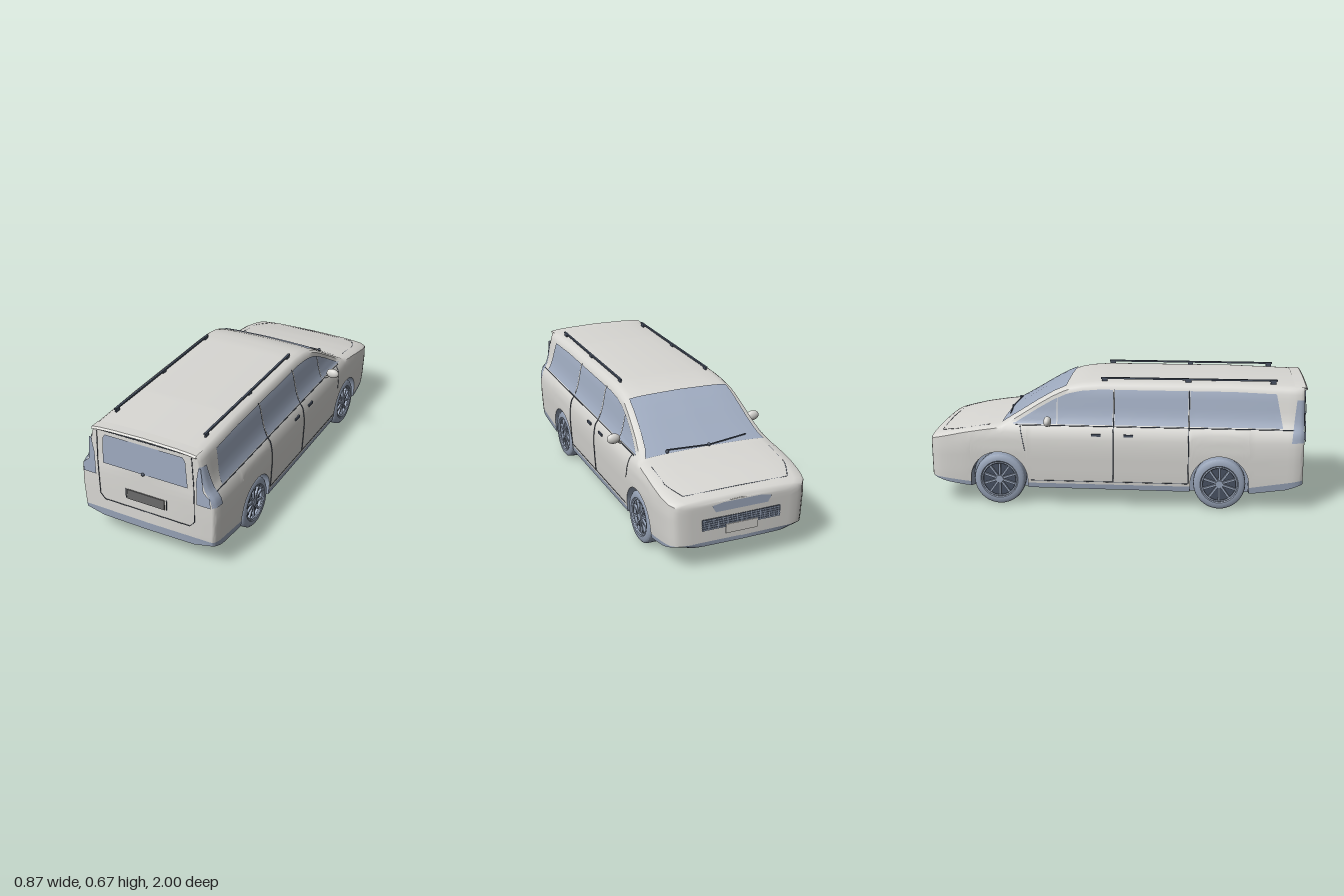
import * as THREE from 'three';
import { toCreasedNormals } from 'three/addons/utils/BufferGeometryUtils.js';

const material = (name, color, side = THREE.DoubleSide) => {
  const m = new THREE.MeshStandardMaterial({ color, side });
  m.name = name;
  return m;
};

// piecewise linear rule through [position, value] pairs
const rule = (pts) => (t) => {
  if (t <= pts[0][0]) return pts[0][1];
  for (let i = 1; i < pts.length; i++) {
    const [a, va] = pts[i - 1], [b, vb] = pts[i];
    if (t <= b) return va + (vb - va) * (t - a) / (b - a);
  }
  return pts[pts.length - 1][1];
};

// body rules: half width by height, plan rounding, roof, sill and floor heights by z
const width = rule([[0.07, 0.362], [0.09, 0.37], [0.17, 0.378], [0.3, 0.385], [0.37, 0.382], [0.41, 0.373],
  [0.43, 0.36], [0.45, 0.344], [0.5, 0.328], [0.6, 0.308], [0.64, 0.294]]);
const plan = rule([[-0.99, 0.68], [-0.985, 0.8], [-0.975, 0.88], [-0.95, 0.94], [-0.9, 0.975], [-0.8, 1],
  [0.93, 1], [0.96, 0.985], [0.975, 0.965], [0.98, 0.94]]);
const roof = rule([[-0.99, 0.35], [-0.98, 0.367], [-0.96, 0.378], [-0.9, 0.392], [-0.8, 0.414], [-0.7, 0.43], [-0.6, 0.443],
  [-0.5, 0.503], [-0.4, 0.565], [-0.32, 0.61], [-0.25, 0.64], [-0.18, 0.655], [-0.08, 0.663], [0.6, 0.664], [0.98, 0.652]]);
const sill = rule([[-0.99, 0.145], [-0.76, 0.122], [0.7, 0.122], [0.98, 0.168]]);
const floor = rule([[-0.99, 0.125], [-0.9, 0.095], [-0.76, 0.076], [0.72, 0.07], [0.9, 0.095], [0.98, 0.125]]);
const crown = rule([[0, 0], [0.6, -0.004], [0.85, -0.009], [0.95, -0.014], [1, -0.025]]);
const AXLES = [0.55, -0.61], HUB = 0.138, ARCH = 0.152;
const arch = (z) => Math.max(...AXLES.map((a) => (Math.abs(z - a) <= ARCH ? HUB + Math.sqrt(ARCH ** 2 - (z - a) ** 2) : 0)));
const edge = (z) => roof(z) - 0.025;
const sideX = (z, y) => width(y) * plan(z);

function loft(sections) {
  const n = sections[0].length, pos = sections.flat(2), index = [];
  for (let i = 0; i < sections.length - 1; i++) for (let j = 0; j < n - 1; j++) {
    const a = i * n + j, b = a + n;
    index.push(a, b, a + 1, b, b + 1, a + 1);
  }
  const g = new THREE.BufferGeometry();
  g.setAttribute('position', new THREE.Float32BufferAttribute(pos, 3));
  g.setIndex(index);
  return toCreasedNormals(g, 0.65);
}

const steps = (a, b, n) => Array.from({ length: n + 1 }, (_, i) => a + (b - a) * i / n);

export function createModel() {
  const paint = material('body paint', 0xd8d7d3);
  const glass = material('tinted glass', 0x9fabc0);
  const trim = material('lower trim and tyres', 0x96a2b6);
  const dark = material('dark trim', 0x475060);
  const plate = material('plate metal', 0x6a6a6a);

  const root = new THREE.Group();
  root.name = 'van';
  const add = (name, geo, mat, parent = root) => {
    const m = new THREE.Mesh(geo, mat);
    m.name = name;
    parent.add(m);
    return m;
  };
  const box = (name, mat, size, at, parent) => {
    const m = add(name, new THREE.BoxGeometry(...size), mat, parent);
    m.position.set(...at);
    return m;
  };
  const line = (name, pts, r = 0.002, mat = dark) => {
    const path = new THREE.CurvePath();
    const v = pts.map((p) => new THREE.Vector3(...p));
    for (let i = 1; i < v.length; i++) path.add(new THREE.LineCurve3(v[i - 1], v[i]));
    return add(name, new THREE.TubeGeometry(path, pts.length * 4, r, 5), mat);
  };
  const panel = (name, mat, pts, z) => {
    const g = new THREE.ShapeGeometry(new THREE.Shape(pts.map((p) => new THREE.Vector2(...p))));
    add(name, g, mat).position.z = z;
  };

  // stations along the length, denser round the wheel arches and the ends
  const stations = [...steps(-0.98, 0.96, 60), -0.99, -0.985, -0.975, -0.965, -0.6, 0.97, 0.975, 0.98];
  for (const a of AXLES) {
    for (const t of steps(0, Math.PI, 24)) stations.push(a + ARCH * Math.cos(t) * 0.99999);
    stations.push(a - ARCH - 0.001, a + ARCH + 0.001);
  }
  stations.sort((a, b) => a - b);

  const shell = (half) => {
    const rows = stations.map((z) => {
      const h = half(z);
      return [...h.map(([x, y]) => [x, y, z]), ...h.slice(0, -1).reverse().map(([x, y]) => [-x, y, z])];
    });
    const close = (row, dz) => row.map(([, y, z]) => [0, y, z + dz]);
    return loft([close(rows[0], -0.003), ...rows, close(rows[rows.length - 1], 0.004)]);
  };

  // painted shell: sides, roof, bonnet, nose and tail
  add('bodyShell', shell((z) => {
    const low = Math.max(sill(z), arch(z)), top = edge(z), belt = Math.min(0.43, top);
    const ys = [...steps(low, belt, 9), ...steps(belt, top, 9).slice(1)];
    const xe = sideX(z, top);
    return [...ys.map((y) => [sideX(z, y), y]), ...[0.95, 0.85, 0.6, 0.3, 0].map((s) => [xe * s, roof(z) + crown(s)])];
  }), paint);

  // lower skirt, wheel wells and floor
  add('underbody', shell((z) => {
    const a = arch(z), y0 = Math.max(sill(z), a), y1 = Math.max(floor(z) + 0.022, a), p = plan(z);
    return [[sideX(z, y0), y0], [sideX(z, y1), y1], [0.285 * p, Math.max(floor(z) + 0.002, a)], [0.28 * p, floor(z)], [0, floor(z)]];
  }), trim);

  // side glazing, seams, handles, mirrors, rails and rear lights on both sides
  for (const s of [1, -1]) {
    const side = s > 0 ? 'left' : 'right';
    const on = (z, y, d = 0.005) => [s * (sideX(z, y) + d), y, z];
    const pane = (name, z0, z1, slant = 0) => {
      const rows = steps(z0, z1, 14).map((z, i) => {
        const top = Math.max(0.442, Math.min(0.618, edge(z) - 0.02));
        return steps(0, 1, 8).map((t) => on(z - slant * t * (1 - i / 14), 0.44 + (top - 0.44) * t));
      });
      add(side + name, loft(rows), glass);
    };
    pane('RearWindow', 0.87, 0.392, 0.035);
    pane('MiddleWindow', 0.382, 0.0);
    pane('FrontWindow', -0.01, -0.3);
    pane('QuarterWindow', -0.305, -0.535);
    for (const z of [0.387, -0.005]) {
      line(side + 'DoorSeam', steps(0.14, 0.62, 16).map((y) => on(z, y, 0.001)), 0.0025);
    }
    line(side + 'FrontDoorSeam', steps(0.3, 0.43, 6).map((y) => on(-0.47 - (y - 0.3) * 0.2, y, 0)));
    line(side + 'SillSeam', steps(0.385, -0.44, 8).map((z) => on(z, 0.137, 0)));
    line(side + 'BeltLine', steps(0.93, -0.52, 16).map((z) => on(z, 0.433, 0.001)), 0.0025);
    for (const z of [0.075, -0.095]) box(side + 'DoorHandle', dark, [0.01, 0.012, 0.05], on(z, 0.39, 0.002));

    // door mirror
    const mirror = add(side + 'Mirror', new THREE.SphereGeometry(1, 20, 14), paint);
    mirror.scale.set(0.036, 0.027, 0.02);
    mirror.position.set(s * 0.4, 0.463, -0.345);
    line(side + 'MirrorArm', [[s * 0.355, 0.43, -0.34], [s * 0.385, 0.447, -0.345]], 0.006, paint);

    // roof rail on feet
    box(side + 'RoofRail', dark, [0.011, 0.009, 0.92], [s * 0.25, 0.669, 0.38]);
    for (const z of [-0.06, 0.38, 0.82]) box(side + 'RailFoot', dark, [0.009, 0.018, 0.03], [s * 0.25, 0.659, z]);

    // rear light wrapping the corner
    const lamp = [[0.31, 0.58], [0.298, 0.58], [0.284, 0.5], [0.284, 0.37], [0.358, 0.37], [0.356, 0.42], [0.322, 0.45]];
    panel(side + 'RearLight', glass, lamp.map(([x, y]) => [x * s, y]), 0.987);
    add(side + 'RearLightSide', loft(steps(0, 1, 12).map((t) => {
      const y = 0.37 + 0.21 * t;
      return steps(0.915 + 0.025 * t, 0.98, 5).map((z) => on(z, y, 0.004));
    })), glass);
  }

  // windscreen following the sloping roof
  add('windscreen', loft(steps(-0.255, -0.592, 24).map((z) => steps(-0.93, 0.93, 16).map((f) => {
    const k = f * (0.98 + 0.02 * (z + 0.255));
    return [sideX(z, edge(z)) * k, roof(z) + crown(Math.abs(k)) + 0.005, z - 0.003];
  }))), glass);
  line('wiperBlade', [[-0.24, 0.468, -0.565], [-0.02, 0.457, -0.592], [0.21, 0.462, -0.58]], 0.004);
  for (const x of [-0.02, 0.21]) add('wiperPivot', new THREE.SphereGeometry(0.009, 10, 8), dark).position.set(x, 0.457, -0.59);

  // bonnet shut line
  line('bonnetSeam', [[-0.325, -0.66], [-0.325, -0.83], [-0.28, -0.93], [0, -0.935], [0.28, -0.93], [0.325, -0.83], [0.325, -0.66]]
    .map(([x, z]) => [x, roof(z) + crown(Math.abs(x) / sideX(z, edge(z))), z]));

  // tail: window, tailgate seam, plate, camera and spoiler
  panel('tailWindow', glass, [[-0.238, 0.45], [0.238, 0.45], [0.229, 0.595], [0.215, 0.616], [-0.215, 0.616], [-0.229, 0.595]], 0.988);
  line('tailgateSeam', [[-0.262, 0.625], [-0.27, 0.45], [-0.268, 0.26], [-0.245, 0.232], [0.245, 0.232], [0.268, 0.26], [0.27, 0.45], [0.262, 0.625]]
    .map(([x, y]) => [x, y, 0.985]));
  box('rearPlate', plate, [0.21, 0.054, 0.006], [0, 0.309, 0.988]);
  for (const x of [-0.115, 0.115]) box('plateRecessEdge', dark, [0.003, 0.055, 0.004], [x, 0.309, 0.986]);
  add('rearCamera', new THREE.SphereGeometry(0.009, 12, 8), dark).position.set(-0.008, 0.452, 0.989);
  add('tailSpoiler', loft([[0.93, 0.002], [0.985, 0.003], [0.994, -0.006], [0.975, -0.014]].map(([z, dy]) =>
    steps(-1, 1, 16).map((f) => [f * 0.288, 0.653 + dy + crown(Math.abs(f) * 0.95), z]))), paint);
  line('spoilerShadow', [[-0.28, 0.636, 0.985], [0.28, 0.636, 0.985]], 0.003);

  // nose: upper panel, grille with bars and plate
  panel('nosePanel', glass, [[-0.16, 0.333], [-0.14, 0.298], [0.14, 0.298], [0.16, 0.333], [0.1, 0.343], [-0.1, 0.343]], -0.996);
  box('grille', dark, [0.42, 0.058, 0.004], [0, 0.238, -0.993]);
  for (const y of steps(0.215, 0.261, 4)) box('grilleBar', trim, [0.42, 0.004, 0.003], [0, y, -0.995]);
  for (const x of steps(-0.2, 0.2, 16)) box('grilleSlat', trim, [0.004, 0.056, 0.003], [x, 0.238, -0.995]);
  box('frontPlate', paint, [0.17, 0.048, 0.005], [0, 0.2, -0.997]);

  // wheels: tyre, dark dish, rim ring, ten spokes and hub
  const tyre = [[0.092, 0.038], [0.1, 0.045], [0.122, 0.045], [0.133, 0.036], [0.136, 0.02], [0.136, -0.02], [0.133, -0.036], [0.122, -0.045], [0.03, -0.045]];
  const tyreGeo = toCreasedNormals(new THREE.LatheGeometry(tyre.map((p) => new THREE.Vector2(...p)), 40), 0.7);
  for (const z of AXLES) for (const s of [1, -1]) {
    const wheel = new THREE.Group();
    wheel.name = (s > 0 ? 'left' : 'right') + (z < 0 ? 'Front' : 'Rear') + 'Wheel';
    wheel.position.set(s * 0.33, 0.137, z);
    wheel.rotation.z = -s * Math.PI / 2;
    add('tyre', tyreGeo, trim, wheel);
    add('dish', new THREE.CylinderGeometry(0.094, 0.094, 0.01, 32), dark, wheel).position.y = 0.016;
    const ring = add('rimRing', new THREE.TorusGeometry(0.091, 0.005, 8, 40), trim, wheel);
    ring.rotation.x = Math.PI / 2;
    ring.position.y = 0.038;
    for (let i = 0; i < 10; i++) {
      const a = i * Math.PI / 5;
      box('spoke', trim, [0.075, 0.012, 0.011], [0.053 * Math.cos(a), 0.032, -0.053 * Math.sin(a)], wheel).rotation.y = a;
    }
    add('hub', new THREE.CylinderGeometry(0.02, 0.024, 0.02, 20), trim, wheel).position.y = 0.032;
    root.add(wheel);
  }
  return root;
}
